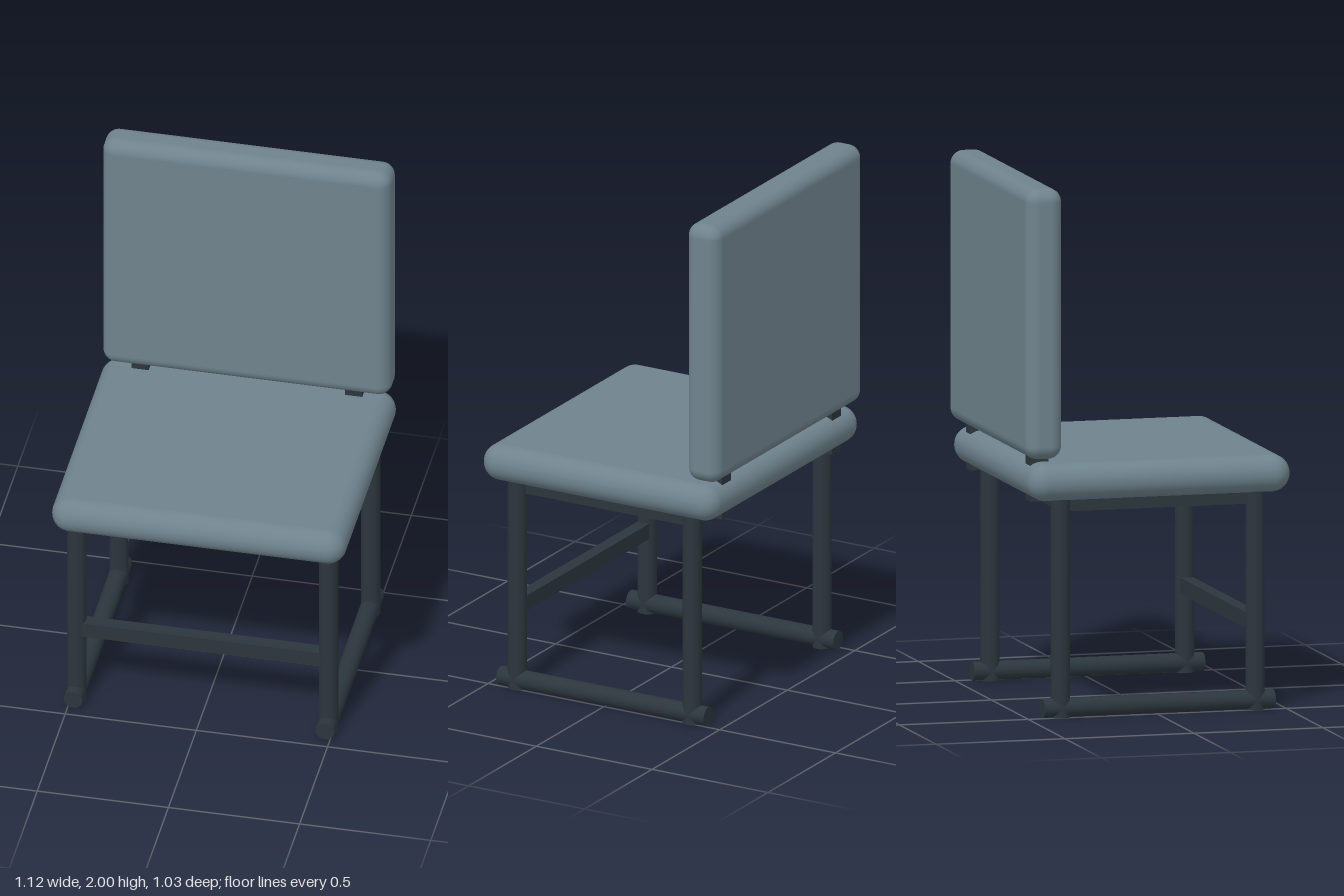
import * as THREE from 'three';
import { RoundedBoxGeometry } from 'three/addons/geometries/RoundedBoxGeometry.js';

export function createModel() {
  const model = new THREE.Group();
  model.name = 'chair';

  const upholstery = new THREE.MeshStandardMaterial({ color: 0x6f838d });
  upholstery.name = 'greyBlueUpholstery';
  const metal = new THREE.MeshStandardMaterial({ color: 0x2c363d });
  metal.name = 'darkMetal';

  const add = (name, geometry, material, x, y, z) => {
    const mesh = new THREE.Mesh(geometry, material);
    mesh.name = name;
    mesh.position.set(x, y, z);
    model.add(mesh);
    return mesh;
  };

  // Cushions
  add('seat', new RoundedBoxGeometry(1.12, 0.14, 1.015, 8, 0.069), upholstery, 0, 0.89, 0.005);
  add('backrest', new RoundedBoxGeometry(1.1, 1.02, 0.14, 6, 0.05), upholstery, 0, 1.49, -0.445);

  // Support panel under the seat and the bar between the front legs
  add('seatPanel', new THREE.BoxGeometry(0.96, 0.05, 0.755), metal, 0, 0.8, 0.008);
  add('frontBar', new THREE.BoxGeometry(0.92, 0.06, 0.05), metal, 0, 0.33, 0.385);

  // Side frames: two legs on a floor runner, plus a backrest bracket
  const legGeometry = new THREE.CylinderGeometry(0.036, 0.036, 0.86, 24);
  const runnerGeometry = new THREE.CylinderGeometry(0.036, 0.036, 0.895, 24).rotateX(Math.PI / 2);
  const bracketGeometry = new THREE.BoxGeometry(0.065, 0.21, 0.07);
  for (const [side, s] of [['left', 1], ['right', -1]]) {
    add(side + 'FrontLeg', legGeometry, metal, s * 0.48, 0.43, 0.385);
    add(side + 'BackLeg', legGeometry, metal, s * 0.48, 0.43, -0.37);
    add(side + 'Runner', runnerGeometry, metal, s * 0.48, 0.036, 0.008);
    add(side + 'BackBracket', bracketGeometry, metal, s * 0.407, 0.915, -0.44);
  }

  return model;
}
